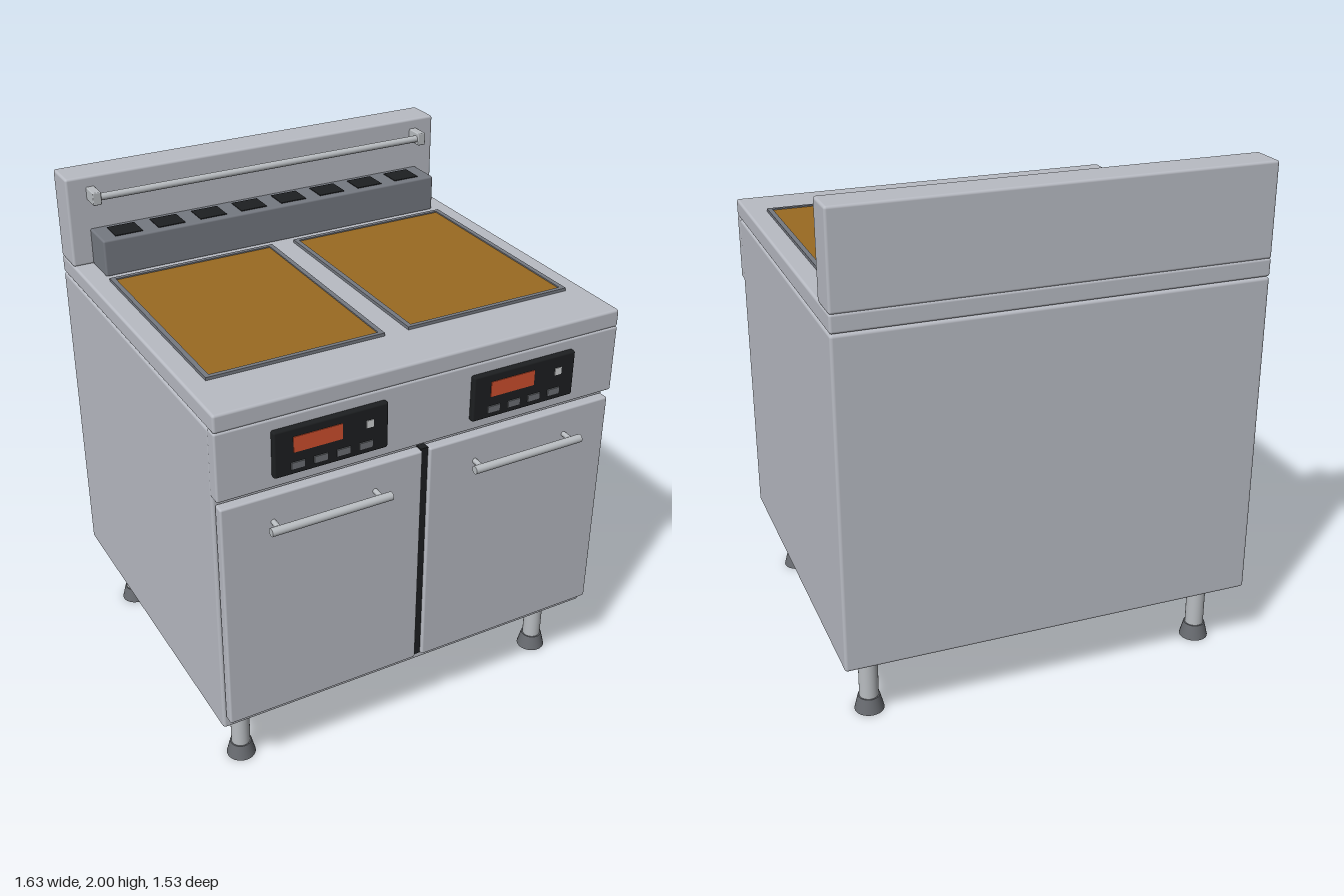
import * as THREE from 'three';
import { RoundedBoxGeometry } from 'three/addons/geometries/RoundedBoxGeometry.js';

const mat = (name, color) => {
  const m = new THREE.MeshStandardMaterial({ color });
  m.name = name;
  return m;
};

export function createModel() {
  const steel = mat('brushed steel', 0xb8bbc3);
  const polished = mat('polished steel', 0xb9bdc1);
  const grey = mat('dark grey steel', 0x757981);
  const rubber = mat('foot grey', 0x686b70);
  const black = mat('black', 0x1d1f21);
  const orange = mat('display orange', 0xd2502e);
  const oilMat = mat('oil', 0x9a6a21);
  const buttonMat = mat('button grey', 0x6e7176);
  const white = mat('indicator white', 0xd2d4d6);

  const model = new THREE.Group();
  model.name = 'doubleFryer';

  const add = (parent, name, geometry, material, x = 0, y = 0, z = 0) => {
    const mesh = new THREE.Mesh(geometry, material);
    mesh.name = name;
    mesh.position.set(x, y, z);
    parent.add(mesh);
    return mesh;
  };
  // Box given by its limits; r > 0 rounds the edges
  const box = (parent, name, material, [x0, x1], [y0, y1], [z0, z1], r = 0) => {
    const size = [x1 - x0, y1 - y0, z1 - z0];
    const geometry = r ? new RoundedBoxGeometry(...size, 3, r) : new THREE.BoxGeometry(...size);
    return add(parent, name, geometry, material, (x0 + x1) / 2, (y0 + y1) / 2, (z0 + z1) / 2);
  };
  // Horizontal round bar along x
  const bar = (parent, name, material, length, r, x, y, z) => {
    const mesh = add(parent, name, new THREE.CylinderGeometry(r, r, length, 20), material, x, y, z);
    mesh.rotation.z = Math.PI / 2;
    return mesh;
  };

  // Cabinet, worktop, control fascia and splashback
  box(model, 'cabinet', steel, [-0.815, 0.815], [0.28, 1.573], [-0.765, 0.645], 0.012);
  box(model, 'worktop', steel, [-0.815, 0.815], [1.575, 1.645], [-0.765, 0.69], 0.01);
  box(model, 'controlFascia', steel, [-0.815, 0.815], [1.31, 1.576], [0.635, 0.69], 0.008);
  box(model, 'splashback', steel, [-0.815, 0.815], [1.642, 2], [-0.765, -0.625], 0.01);
  box(model, 'doorGap', black, [-0.016, 0.016], [0.335, 1.28], [0.64, 0.675]);

  // Flue with a row of vents
  const flue = new THREE.Group();
  flue.name = 'flue';
  model.add(flue);
  box(flue, 'flueBox', grey, [-0.735, 0.735], [1.642, 1.79], [-0.627, -0.478], 0.008);
  for (let i = 0; i < 8; i++) {
    const x = (i - 3.5) * 0.177;
    box(flue, 'vent', black, [x - 0.056, x + 0.056], [1.786, 1.793], [-0.6, -0.505]);
  }

  // Rail on the splashback
  bar(model, 'rail', polished, 1.42, 0.014, 0, 1.932, -0.57);
  for (const s of [-1, 1]) {
    const x = s * 0.719;
    box(model, 'railBracket', polished, [x - 0.017, x + 0.017], [1.907, 1.958], [-0.63, -0.55], 0.004);
  }

  // Raised rim around each vat
  const rimShape = new THREE.Shape();
  const rect = (path, w, h) => path.moveTo(-w, -h).lineTo(w, -h).lineTo(w, h).lineTo(-w, h).closePath();
  rect(rimShape, 0.345, 0.45);
  const hole = new THREE.Path();
  rect(hole, 0.326, 0.433);
  rimShape.holes.push(hole);
  const rimGeometry = new THREE.ExtrudeGeometry(rimShape, { depth: 0.017, bevelEnabled: false });
  rimGeometry.rotateX(-Math.PI / 2);

  for (const s of [-1, 1]) {
    // Vat
    const vat = new THREE.Group();
    vat.name = s > 0 ? 'leftVat' : 'rightVat';
    vat.position.set(s * 0.393, 0, 0.015);
    model.add(vat);
    add(vat, 'vatRim', rimGeometry, grey, 0, 1.64, 0);
    box(vat, 'oil', oilMat, [-0.327, 0.327], [1.643, 1.652], [-0.434, 0.434]);

    // Door with bar handle
    const door = new THREE.Group();
    door.name = s > 0 ? 'leftDoor' : 'rightDoor';
    door.position.x = s * 0.41;
    model.add(door);
    box(door, 'doorPanel', steel, [-0.395, 0.395], [0.335, 1.28], [0.646, 0.69], 0.008);
    bar(door, 'handleBar', polished, 0.472, 0.016, 0, 1.173, 0.745);
    for (const t of [-1, 1]) {
      const post = add(door, 'handlePost', new THREE.CylinderGeometry(0.01, 0.01, 0.06, 14),
        polished, t * 0.2, 1.173, 0.715);
      post.rotation.x = Math.PI / 2;
    }

    // Control unit
    const control = new THREE.Group();
    control.name = s > 0 ? 'leftControl' : 'rightControl';
    control.position.x = s * 0.393;
    model.add(control);
    box(control, 'controlPlate', black, [-0.219, 0.219], [1.355, 1.535], [0.685, 0.712], 0.008);
    box(control, 'display', orange, [-0.147, 0.039], [1.442, 1.502], [0.709, 0.715]);
    box(control, 'indicator', white, [0.131, 0.159], [1.457, 1.485], [0.709, 0.715]);
    for (let i = 0; i < 4; i++) {
      const x = (i - 1.5) * 0.087;
      box(control, 'button', buttonMat, [x - 0.026, x + 0.026], [1.377, 1.404], [0.708, 0.717]);
    }

    // Legs with flared feet
    for (const z of [0.51, -0.617]) {
      const leg = new THREE.Group();
      leg.name = 'leg';
      leg.position.set(s * 0.691, 0, z);
      model.add(leg);
      add(leg, 'legTube', new THREE.CylinderGeometry(0.037, 0.037, 0.25, 28), polished, 0, 0.17, 0);
      add(leg, 'foot', new THREE.CylinderGeometry(0.042, 0.057, 0.06, 28), rubber, 0, 0.03, 0);
    }
  }
  return model;
}
